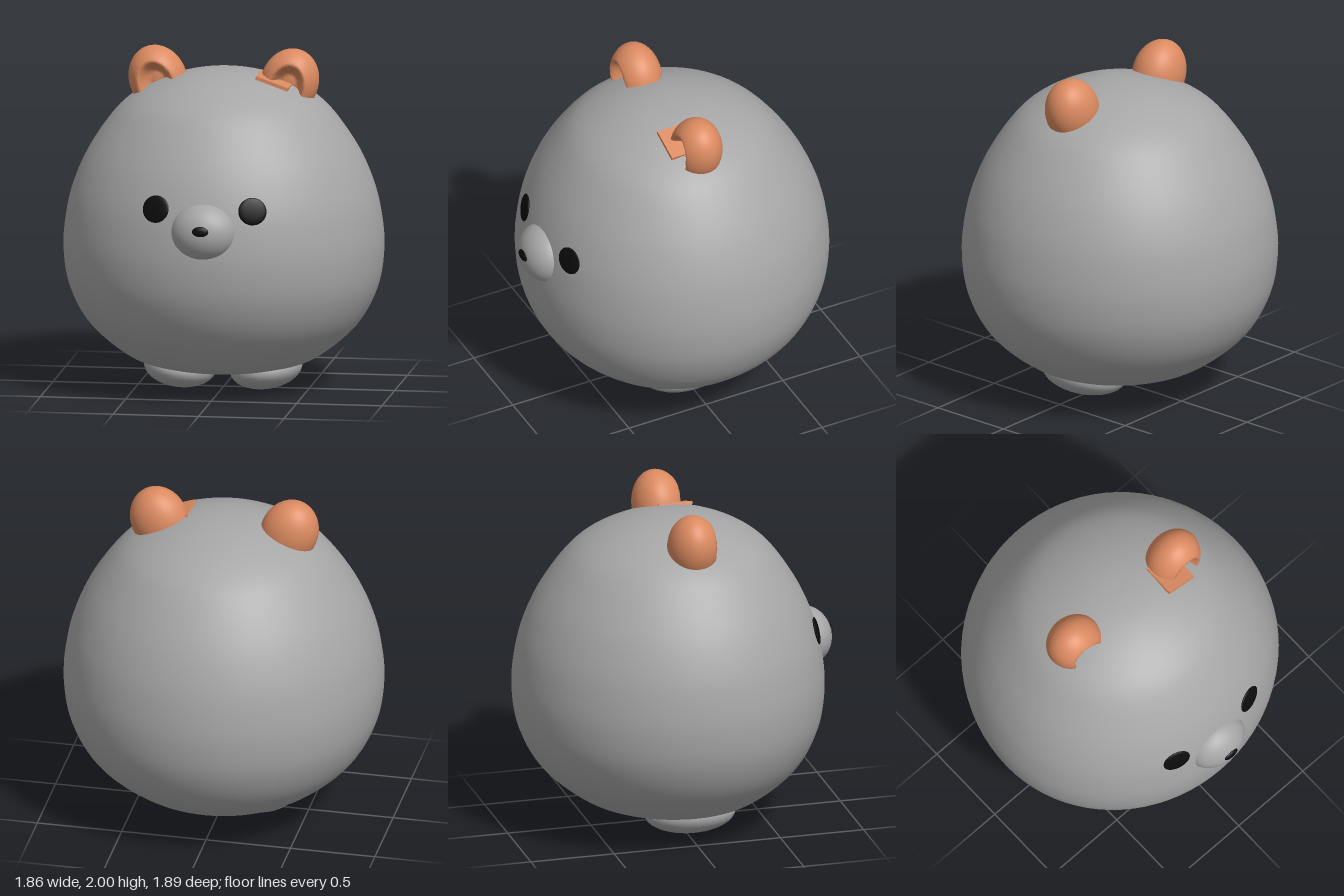
import * as THREE from 'three';
import { mergeVertices } from 'three/addons/utils/BufferGeometryUtils.js';

const mat = (name, color) => {
  const m = new THREE.MeshStandardMaterial({ color });
  m.name = name;
  return m;
};

// Drops seams, reshapes each vertex by a rule and smooths the normals
function reshape(geometry, rule) {
  geometry.deleteAttribute('uv');
  geometry.deleteAttribute('normal');
  const g = mergeVertices(geometry, 1e-5);
  const p = g.attributes.position;
  const v = new THREE.Vector3();
  for (let i = 0; i < p.count; i++) {
    rule(v.fromBufferAttribute(p, i));
    p.setXYZ(i, v.x, v.y, v.z);
  }
  g.computeVertexNormals();
  return g;
}

export function createModel() {
  const model = new THREE.Group();
  model.name = 'roundBear';
  const grey = mat('greyFur', 0xa6a6a6);
  const orange = mat('orangeEar', 0xdb8a60);
  const black = mat('black', 0x0c0c0c);

  const add = (name, geometry, material, x = 0, y = 0, z = 0) => {
    const mesh = new THREE.Mesh(geometry, material);
    mesh.name = name;
    mesh.position.set(x, y, z);
    model.add(mesh);
    return mesh;
  };
  const ellipsoid = (rx, ry, rz, w = 40, h = 28) => new THREE.SphereGeometry(1, w, h).scale(rx, ry, rz);

  // Egg-shaped body, a little deeper at the back than at the front
  const outline = new THREE.SplineCurve([
    [0, 0.1], [0.2, 0.108], [0.4, 0.14], [0.57, 0.205], [0.78, 0.385], [0.895, 0.6],
    [0.93, 0.82], [0.915, 1.02], [0.872, 1.2], [0.785, 1.4], [0.65, 1.6],
    [0.53, 1.715], [0.36, 1.805], [0.18, 1.857], [0, 1.872],
  ].map(([r, y]) => new THREE.Vector2(r, y)));
  const profile = outline.getPoints(70);
  profile[0].x = profile[70].x = 0;
  add('body', reshape(new THREE.LatheGeometry(profile, 80), (v) => {
    v.z *= v.z > 0 ? 0.933 : 1.014;
  }), grey);

  // Muzzle and nose
  add('muzzle', ellipsoid(0.19, 0.168, 0.145), grey, 0, 1.05, 0.795).rotation.x = -0.12;
  add('nose', ellipsoid(0.048, 0.03, 0.015, 24, 16), black, 0, 1.075, 0.934).rotation.x = -0.1;

  // Ear dome with a hollow scooped out of its front
  const earGeometry = () => reshape(new THREE.SphereGeometry(1, 64, 48), (v) => {
    v.set(v.x * 0.168, v.y * 0.2, v.z * (v.z > 0 ? 0.155 : 0.142));
    const d = Math.hypot(v.x / 0.105, (v.y + 0.02) / 0.15);
    if (v.z > 0 && d < 1) v.z -= 0.13 * THREE.MathUtils.smoothstep(1 - d, 0, 0.55);
  });

  for (const [side, s] of [['left', 1], ['right', -1]]) {
    add(side + 'Ear', earGeometry(), orange, s * 0.385, 1.802, 0).rotation.z = -s * 0.35;

    // Eye disc lying on the face
    const eye = add(side + 'Eye', ellipsoid(0.083, 0.08, 0.014, 32, 16), black, s * 0.283, 1.175, 0.778);
    eye.lookAt(eye.position.clone().add(new THREE.Vector3(s * 0.28, 0.22, 0.894)));

    // Foot
    add(side + 'Foot', ellipsoid(0.21, 0.118, 0.268, 28, 18), grey, s * 0.252, 0.122, 0.025)
      .rotation.z = s * 0.13;
  }

  // Flat flap at the base of the left ear
  add('leftEarFlap', new THREE.BoxGeometry(0.2, 0.02, 0.2), orange, 0.305, 1.818, 0.07).rotation.z = -0.34;

  return model;
}
